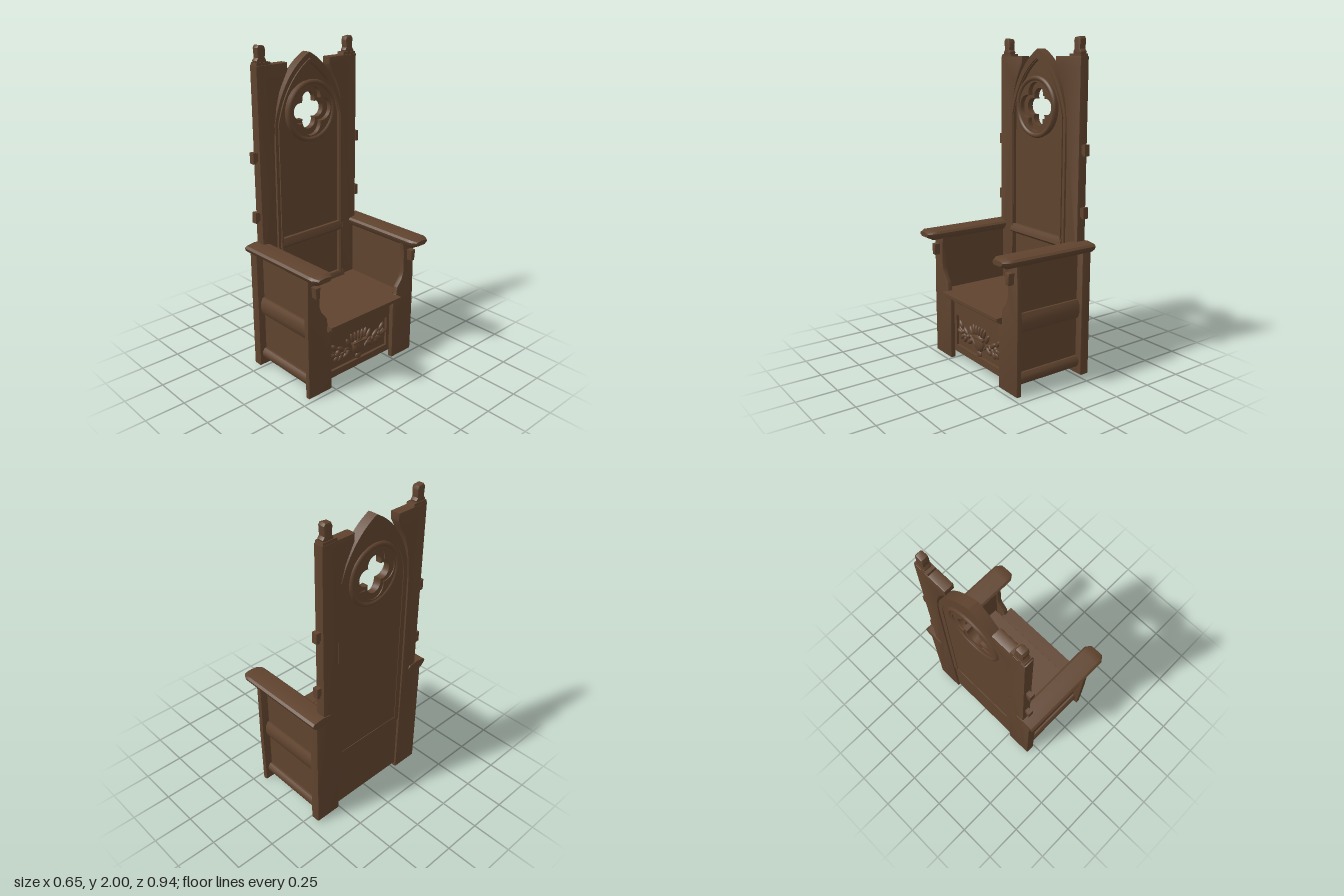
import * as THREE from 'three';
import { toCreasedNormals } from 'three/addons/utils/BufferGeometryUtils.js';

const wood = new THREE.MeshStandardMaterial({ color: 0x5f432e });
wood.name = 'dark wood';

export function createModel() {
  const chair = new THREE.Group();
  chair.name = 'highBackChair';

  const add = (name, geo) => {
    const m = new THREE.Mesh(geo, wood);
    m.name = name;
    chair.add(m);
    return m;
  };
  const poly = pts => new THREE.Shape(pts.map(p => new THREE.Vector2(p[0], p[1])));
  const rect = (a, b, c, d) => poly([[a, c], [b, c], [b, d], [a, d]]);

  // Slab drawn in the z-y plane (shape x = -z) and extruded along x from x0 to x1
  const slab = (name, shape, x0, x1, bevel = 0, steps = 1) => {
    let g = new THREE.ExtrudeGeometry(shape, {
      depth: x1 - x0 - 2 * bevel, steps, curveSegments: 16,
      bevelEnabled: bevel > 0, bevelThickness: bevel, bevelSize: bevel, bevelOffset: -bevel, bevelSegments: 2,
    });
    g.translate(0, 0, x0 + bevel).rotateY(Math.PI / 2);
    return add(name, toCreasedNormals(g, 0.6));
  };
  // Beam along z with an x-y profile
  const beam = (name, pts, z0, z1) => {
    const g = new THREE.ExtrudeGeometry(poly(pts), { depth: z1 - z0, bevelEnabled: false });
    return add(name, toCreasedNormals(g.translate(0, 0, z0), 0.6));
  };
  const box = (name, x0, x1, y0, y1, z0, z1) => {
    const g = new THREE.BoxGeometry(x1 - x0, y1 - y0, z1 - z0);
    return add(name, g.translate((x0 + x1) / 2, (y0 + y1) / 2, (z0 + z1) / 2));
  };
  const blob = (name, x, y, z, sx, sy, sz, tilt = 0) => {
    const m = add(name, new THREE.SphereGeometry(1, 14, 10));
    m.position.set(x, y, z);
    m.scale.set(sx, sy, sz);
    m.rotation.x = tilt;
  };

  // Pointed arch outline and four-lobed opening
  const arch = (Kind, w, y0, spring, top) => {
    const s = new Kind();
    s.moveTo(-w, y0);
    s.lineTo(w, y0);
    s.lineTo(w, spring);
    s.quadraticCurveTo(w * 0.76, top - 0.105, 0, top);
    s.quadraticCurveTo(-w * 0.76, top - 0.105, -w, spring);
    s.closePath();
    return s;
  };
  const cy = 1.59;
  const lobes = (d, r) => {
    const pts = [];
    for (let i = 0; i < 64; i++) {
      const a = (i / 64) * Math.PI * 2;
      const f = a - Math.round(a / (Math.PI / 2)) * (Math.PI / 2);
      const q = d * Math.cos(f) + Math.sqrt(r * r - (d * Math.sin(f)) ** 2);
      pts.push(new THREE.Vector2(q * Math.cos(a), cy + q * Math.sin(a)));
    }
    return new THREE.Path(pts);
  };
  const disc = r => new THREE.Shape().absarc(0, cy, r, 0, Math.PI * 2);

  // Back panel, arch moulding and rosette
  const panel = arch(THREE.Shape, 0.26, 0.045, 1.55, 1.925);
  panel.holes.push(lobes(0.063, 0.05));
  slab('backPanel', panel, -0.308, -0.27);
  const frame = arch(THREE.Shape, 0.265, 0.43, 1.55, 1.935);
  frame.holes.push(arch(THREE.Path, 0.232, 0.46, 1.54, 1.875));
  slab('archFrame', frame, -0.312, -0.252);
  const lip = arch(THREE.Shape, 0.245, 0.44, 1.545, 1.9);
  lip.holes.push(arch(THREE.Path, 0.235, 0.46, 1.54, 1.88));
  slab('archBead', lip, -0.26, -0.243);
  const rosette = disc(0.18);
  rosette.holes.push(lobes(0.08, 0.07));
  slab('rosette', rosette, -0.314, -0.24);
  for (const x of [-0.245, -0.305]) {
    const g = new THREE.TorusGeometry(0.172, 0.016, 8, 48).rotateY(Math.PI / 2);
    add('rosetteRing', g.translate(x, cy, 0));
  }

  // Cross rails on the back
  beam('middleRail', [[-0.29, 0.765], [-0.25, 0.765], [-0.236, 0.78], [-0.24, 0.8], [-0.25, 0.825], [-0.29, 0.825]], -0.25, 0.25);
  beam('lowerRail', [[-0.29, 0.42], [-0.235, 0.42], [-0.235, 0.445], [-0.25, 0.47], [-0.29, 0.47]], -0.265, 0.265);

  // Seat with a moulded front edge
  box('seat', -0.29, 0.172, 0.4, 0.435, -0.37, 0.37);
  beam('seatFront', [[0.17, 0.4], [0.235, 0.4], [0.24, 0.412], [0.26, 0.42], [0.26, 0.438], [0.17, 0.438]], -0.295, 0.295);

  // Front board with a recessed field
  const apron = rect(-0.262, 0.262, 0.045, 0.4);
  apron.holes.push(rect(-0.237, 0.237, 0.09, 0.29));
  slab('frontBoard', apron, 0.16, 0.192);
  slab('frontField', rect(-0.25, 0.25, 0.08, 0.3), 0.155, 0.176);
  box('frontBoardCap', 0.17, 0.205, 0.375, 0.4, -0.262, 0.262);

  // Carved urn, crown and foliage
  blob('carvedUrn', 0.178, 0.175, 0, 0.022, 0.055, 0.05);
  blob('carvedUrnFoot', 0.178, 0.105, 0, 0.014, 0.025, 0.025);
  box('carvedUrnRim', 0.17, 0.2, 0.2, 0.213, -0.058, 0.058);
  for (let i = -2; i <= 2; i++)
    blob('carvedPlume', 0.178, 0.247, i * 0.027, 0.014, 0.034, 0.012, i * 0.16);

  for (const s of [1, -1]) {
    const side = (name, pts, x0, x1, b) => slab(name, poly(pts.map(p => [-s * p[0], p[1]])), x0, x1, b);
    const sbox = (name, x0, x1, y0, y1, z0, z1) =>
      box(name, x0, x1, y0, y1, Math.min(s * z0, s * z1), Math.max(s * z0, s * z1));

    // Foliage beside the urn
    const vine = new THREE.CatmullRomCurve3([[0.05, 0.15], [0.1, 0.19], [0.15, 0.17], [0.22, 0.21]]
      .map(p => new THREE.Vector3(0.178, p[1], s * p[0])));
    add('carvedVine', new THREE.TubeGeometry(vine, 20, 0.008, 6));
    for (const [z, y, l, w, t] of [[0.085, 0.225, 0.035, 0.014, 0.5], [0.1, 0.155, 0.032, 0.016, -0.9],
      [0.145, 0.205, 0.034, 0.015, 0.9], [0.155, 0.15, 0.026, 0.015, -0.5], [0.2, 0.235, 0.03, 0.014, 0.7],
      [0.215, 0.185, 0.03, 0.016, 1.4], [0.185, 0.16, 0.026, 0.016, -0.7]])
      blob('carvedLeaf', 0.178, y, s * z, 0.014, l, w, s * t);
    for (const [z, y] of [[0.12, 0.18], [0.175, 0.195], [0.19, 0.185]])
      blob('carvedBerry', 0.18, y, s * z, 0.014, 0.015, 0.015);

    // Back post flaring inward at the top
    side('backPost', [[0.262, 0.01], [0.435, 0.01], [0.435, 0.77], [0.38, 0.79], [0.38, 1.89], [0.16, 1.89],
      [0.16, 1.845], [0.185, 1.8], [0.222, 1.73], [0.248, 1.64], [0.262, 1.53], [0.269, 1.4], [0.27, 0.8]],
    -0.32, -0.257, 0.007);
    side('postCap', [[0.275, 1.885], [0.375, 1.885], [0.372, 1.905], [0.28, 1.905]], -0.317, -0.262);

    // Finial
    side('finial', [[0.3, 1.9], [0.366, 1.9], [0.37, 1.915], [0.358, 1.93], [0.362, 1.985], [0.352, 2],
      [0.312, 1.995], [0.304, 1.975], [0.308, 1.93], [0.298, 1.915]], -0.314, -0.268, 0.008);

    // Pegs on the back post
    for (const y of [1, 1.365]) {
      sbox('postPeg', -0.302, -0.276, y - 0.025, y + 0.025, 0.37, 0.4);
      sbox('postPegHead', -0.307, -0.272, y - 0.034, y + 0.032, 0.393, 0.415);
    }

    // Front leg plank with a curved shoulder
    side('frontLeg', [[0.262, 0], [0.436, 0], [0.44, 0.4], [0.436, 0.79], [0.335, 0.79], [0.348, 0.72], [0.348, 0.58],
      [0.335, 0.54], [0.295, 0.49], [0.288, 0.44], [0.26, 0.4]], 0.188, 0.222, 0.006);
    side('frontLegPeg', [[0.38, 0.66], [0.405, 0.66], [0.412, 0.73], [0.374, 0.73]], 0.21, 0.26, 0.005);

    // Side panel and its rails
    sbox('sidePanel', -0.27, 0.195, 0.06, 0.78, 0.36, 0.388);
    for (const [y0, y1] of [[0.055, 0.125], [0.365, 0.48]]) {
      const h = y1 - y0;
      side('sideRail', [[0.365, y0], [0.4, y0], [0.414, y0 + h * 0.25], [0.418, y0 + h * 0.5],
        [0.414, y0 + h * 0.75], [0.4, y1], [0.365, y1]], -0.265, 0.195);
    }

    // Armrest with a tapered front end
    const arm = slab('armrest', poly([[0.345, 0.768], [0.435, 0.768], [0.462, 0.79], [0.468, 0.808], [0.455, 0.82],
      [0.395, 0.828], [0.335, 0.82], [0.323, 0.808], [0.328, 0.79]].map(p => [-s * p[0], p[1]])), -0.325, 0.325, 0, 18);
    const p = arm.geometry.attributes.position;
    for (let i = 0; i < p.count; i++) {
      if (p.getX(i) > 0.32) {
        p.setZ(i, s * 0.395 + (p.getZ(i) - s * 0.395) * 0.65);
        p.setY(i, 0.803 + (p.getY(i) - 0.803) * 0.5);
      }
    }
    arm.geometry = toCreasedNormals(arm.geometry, 0.6);
  }
  return chair;
}
